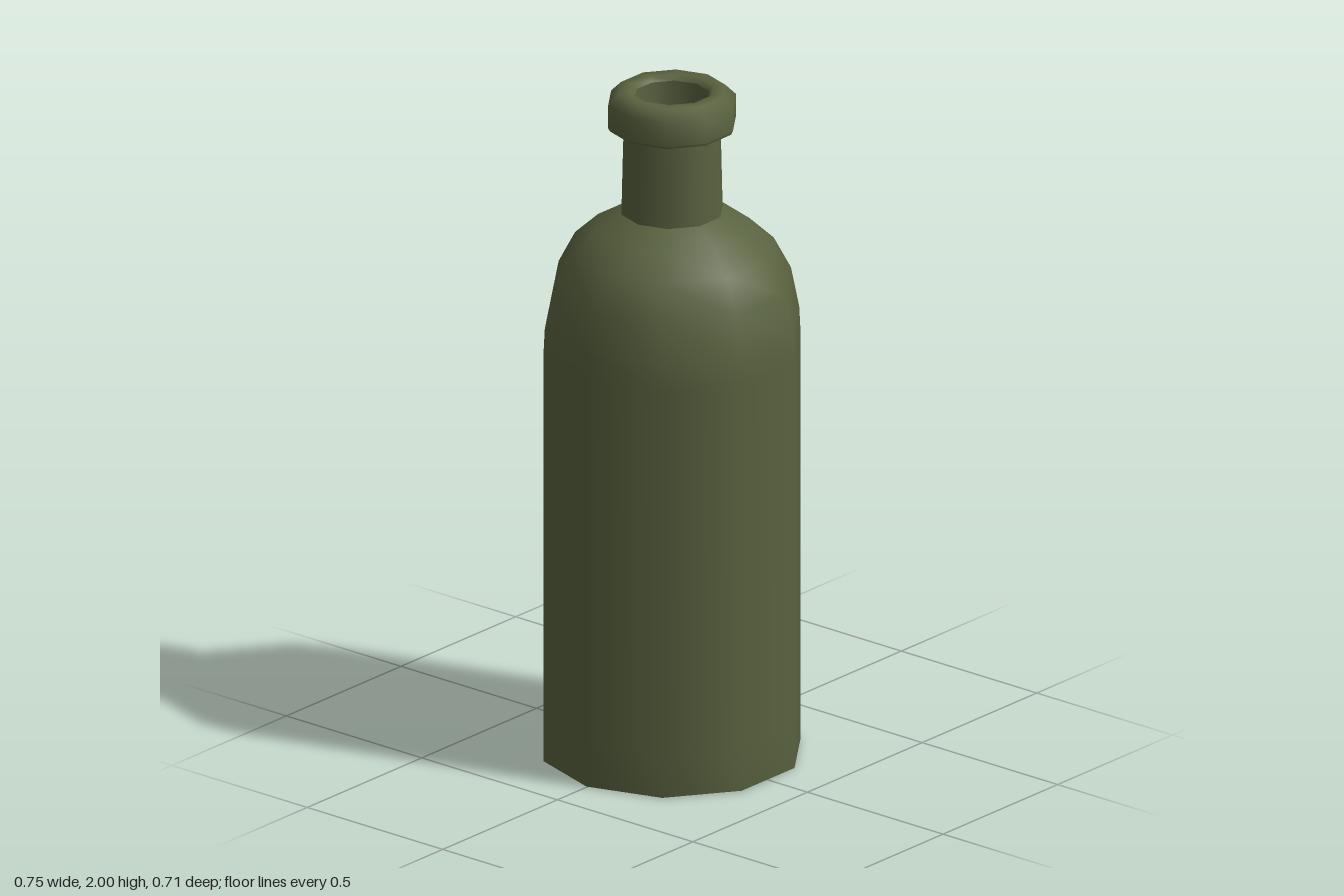
import * as THREE from 'three';

const SIDES = 10;

export function createModel() {
  const bottle = new THREE.Group();
  bottle.name = 'bottle';

  const glass = new THREE.MeshStandardMaterial({ color: 0x59623f });
  glass.name = 'olive green glass';

  // Ten-sided turned part with corners on the x axis
  const turn = (name, points) => {
    const profile = points.map(([r, y]) => new THREE.Vector2(r, y));
    const mesh = new THREE.Mesh(new THREE.LatheGeometry(profile, SIDES, Math.PI / 2), glass);
    mesh.name = name;
    bottle.add(mesh);
  };

  // Flat underside
  turn('base', [[0, 0], [0.373, 0]]);

  // Straight body rounding into the shoulder
  turn('body', [
    [0.365, 0], [0.373, 0.002], [0.373, 0.13], [0.373, 1.23], [0.369, 1.31],
    [0.345, 1.43], [0.295, 1.525], [0.225, 1.59], [0.147, 1.635],
  ]);

  // Slightly tapered neck
  turn('neck', [[0.147, 1.63], [0.142, 1.84], [0.14, 1.89]]);

  // Rounded lip around the mouth
  turn('lipUnderside', [[0.138, 1.882], [0.18, 1.89]]);
  turn('lip', [
    [0.18, 1.89], [0.185, 1.9], [0.185, 1.97], [0.155, 2],
    [0.12, 2], [0.108, 1.985],
  ]);

  // Hollow mouth closed at the foot of the neck
  turn('mouthWall', [[0.108, 1.985], [0.102, 1.64]]);
  turn('mouthFloor', [[0.102, 1.64], [0, 1.64]]);

  return bottle;
}
